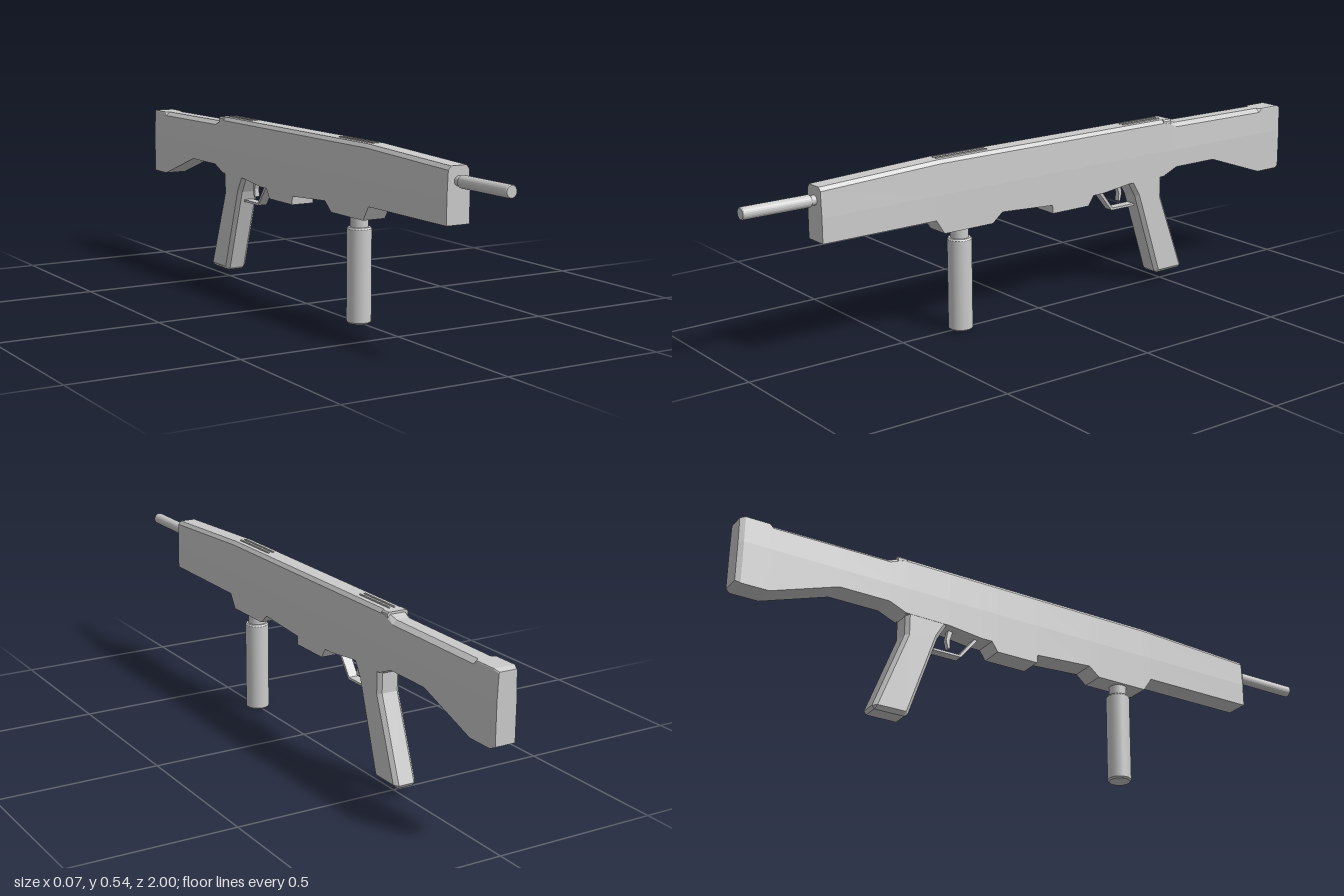
import * as THREE from 'three';

const mat = new THREE.MeshStandardMaterial({ color: 0xcccccc });
const flatMat = new THREE.MeshStandardMaterial({ color: 0xcccccc, flatShading: true });

function add(group, name, geo, material = flatMat) {
  const mesh = new THREE.Mesh(geo, material);
  mesh.name = name;
  group.add(mesh);
  return mesh;
}

// Interpolates rows [z, ...values] sorted by falling z
function sample(rows, z) {
  let i = 0;
  while (i < rows.length - 2 && z < rows[i + 1][0]) i++;
  const a = rows[i], b = rows[i + 1];
  const t = THREE.MathUtils.clamp((z - a[0]) / (b[0] - a[0]), 0, 1);
  return a.slice(1).map((v, k) => v + (b[k + 1] - v) * t);
}

// Skins equal-length rings running front to back, with capped ends
function loft(rings) {
  const n = rings[0].length, index = [];
  for (let r = 0; r < rings.length - 1; r++) {
    for (let i = 0; i < n; i++) {
      const a = r * n + i, b = r * n + (i + 1) % n;
      index.push(a, a + n, b, b, a + n, b + n);
    }
  }
  const last = (rings.length - 1) * n;
  for (let i = 1; i < n - 1; i++) {
    index.push(0, i, i + 1, last, last + i + 1, last + i);
  }
  const geo = new THREE.BufferGeometry();
  geo.setAttribute('position', new THREE.Float32BufferAttribute(rings.flat(2), 3));
  geo.setIndex(index);
  const flat = geo.toNonIndexed();
  flat.computeVertexNormals();
  return flat;
}

// Extrudes a side outline of [z, y] points across x, with chamfered rims
function sidePlate(points, width, bevel = 0) {
  const shape = new THREE.Shape(points.map(([z, y]) => new THREE.Vector2(z, y)));
  const depth = width - 2 * bevel;
  const geo = new THREE.ExtrudeGeometry(shape, {
    depth, bevelEnabled: bevel > 0, bevelThickness: bevel,
    bevelSize: bevel, bevelOffset: -bevel, bevelSegments: 1,
  });
  return geo.translate(0, 0, -depth / 2).rotateY(-Math.PI / 2);
}

function bodyGeometry() {
  // z, underside height
  const under = [
    [0.775, 0.357], [0.4, 0.357], [0.372, 0.314], [0.2, 0.314], [0.165, 0.343],
    [-0.024, 0.331], [-0.026, 0.305], [-0.165, 0.305], [-0.185, 0.335], [-0.22, 0.335],
    [-0.33, 0.348], [-0.475, 0.35], [-0.53, 0.373], [-0.69, 0.373], [-0.9, 0.3],
    [-0.985, 0.3], [-1, 0.307],
  ];
  // z, top height, top half-width, chamfer drop, width factor
  const upper = [
    [0.775, 0.515, 0.025, 0.011, 1], [0.38, 0.532, 0.025, 0.011, 1],
    [-0.47, 0.532, 0.025, 0.011, 1], [-0.49, 0.53, 0.026, 0.011, 1],
    [-0.53, 0.515, 0.02, 0.012, 1], [-0.9, 0.512, 0.02, 0.012, 1],
    [-0.91, 0.512, 0.032, 0.003, 1], [-0.985, 0.512, 0.032, 0.003, 1],
    [-1, 0.506, 0.031, 0.003, 0.84],
  ];
  const stations = [...new Set([...under, ...upper].map((row) => row[0]))].sort((a, b) => b - a);
  return loft(stations.map((z) => {
    const [b] = sample(under, z);
    const [t, topW, drop, f] = sample(upper, z);
    const half = [[0.037, b], [0.037, 0.43], [0.0335, t - drop], [topW, t]];
    const right = half.map(([x, y]) => [x * f, y, z]);
    const left = half.map(([x, y]) => [-x * f, y, z]).reverse();
    return [...right, ...left];
  }));
}

export function createModel() {
  const model = new THREE.Group();
  model.name = 'bullpupRifle';

  add(model, 'body', bodyGeometry());

  // Barrel with a narrower root
  const barrel = [[0, 0.74], [0.014, 0.74], [0.014, 0.788], [0.018, 0.793], [0.018, 0.997], [0.016, 1], [0, 1]];
  const barrelGeo = new THREE.LatheGeometry(barrel.map(([r, z]) => new THREE.Vector2(r, z)), 24);
  add(model, 'barrel', creased(barrelGeo).rotateX(Math.PI / 2).translate(0, 0.474, 0));

  // Front handle with a slimmer neck
  const handle = [[0, 0], [0.032, 0], [0.0365, 0.005], [0.0365, 0.278], [0.033, 0.283], [0.027, 0.283], [0.027, 0.33]];
  const handleGeo = new THREE.LatheGeometry(handle.map(([r, y]) => new THREE.Vector2(r, y)), 24);
  add(model, 'frontHandle', creased(handleGeo).translate(0, 0, 0.295), mat);

  // Raked rear grip
  add(model, 'rearGrip', sidePlate([
    [-0.32, 0.375], [-0.338, 0.345], [-0.365, 0.3], [-0.452, 0.038], [-0.462, 0.03],
    [-0.558, 0.03], [-0.565, 0.04], [-0.472, 0.285], [-0.472, 0.345], [-0.505, 0.375],
  ], 0.072, 0.011));

  // Trigger guard strip and curved trigger
  add(model, 'triggerGuard', sidePlate([
    [-0.215, 0.345], [-0.278, 0.267], [-0.37, 0.267], [-0.37, 0.274],
    [-0.282, 0.274], [-0.228, 0.345],
  ], 0.03));
  add(model, 'trigger', sidePlate([
    [-0.302, 0.35], [-0.313, 0.315], [-0.311, 0.29], [-0.318, 0.288],
    [-0.325, 0.315], [-0.318, 0.35],
  ], 0.016));

  // Low sight ribs on the top ridge
  for (const [name, z, length] of [['frontSightRib', 0.29, 0.18], ['rearSightRib', -0.4, 0.15]]) {
    for (const side of [-1, 1]) {
      const rib = add(model, name, new THREE.BoxGeometry(0.005, 0.008, length));
      rib.position.set(side * 0.008, 0.5315, z);
    }
  }

  // Faceted block at the rear end of the ridge
  const block = [[0.033, 0.515], [0.033, 0.526], [0.029, 0.531], [-0.029, 0.531], [-0.033, 0.526], [-0.033, 0.515]];
  add(model, 'rearSightBlock', loft([-0.475, -0.505].map((z) => block.map(([x, y]) => [x, y, z]))));

  return model;
}

// Keeps profile corners sharp while rounding around the axis
function creased(geo) {
  const flat = geo.toNonIndexed();
  flat.computeVertexNormals();
  const p = flat.attributes.position, n = flat.attributes.normal;
  for (let i = 0; i < p.count; i++) {
    const radial = Math.hypot(n.getX(i), n.getZ(i)), r = Math.hypot(p.getX(i), p.getZ(i));
    if (r > 1e-6 && radial > 0.05) {
      const s = Math.sign(n.getX(i) * p.getX(i) + n.getZ(i) * p.getZ(i)) * radial / r;
      n.setXYZ(i, p.getX(i) * s, n.getY(i), p.getZ(i) * s);
    }
  }
  return flat;
}
